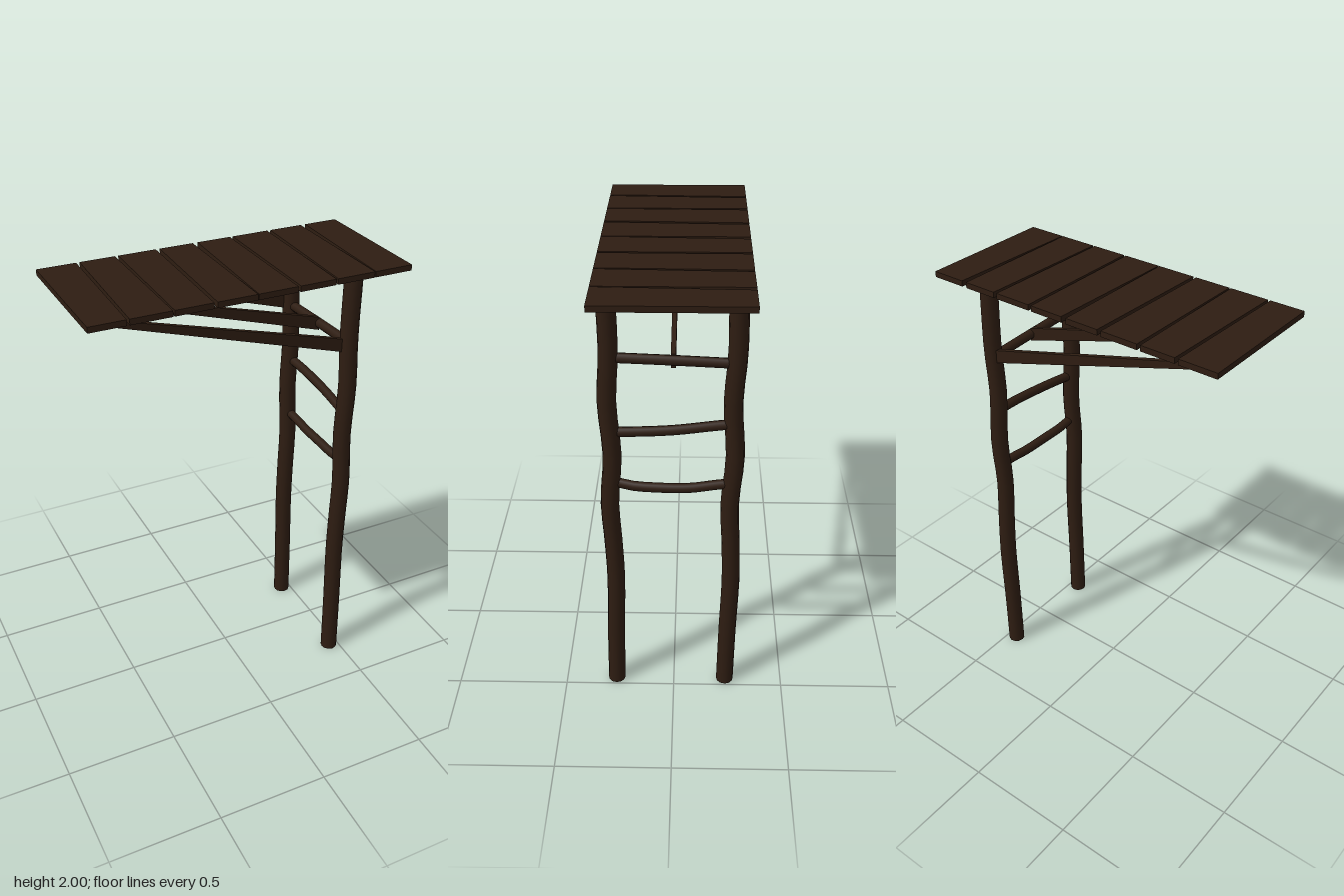
import * as THREE from 'three';

const wood = new THREE.MeshStandardMaterial({ color: 0x2e1d12, roughness: 0.9 });
const POST_X = 0.455;

function add(parent, name, geometry) {
  const mesh = new THREE.Mesh(geometry, wood);
  mesh.name = name;
  parent.add(mesh);
  return mesh;
}

// Smooth curve through [position, offset] pairs, sampled by position
function wave(pairs) {
  const pts = new THREE.CatmullRomCurve3(pairs.map(([t, d]) => new THREE.Vector3(t, d, 0))).getPoints(60);
  return (t) => {
    let i = 1;
    while (i < pts.length - 1 && pts[i].x < t) i++;
    const a = pts[i - 1], b = pts[i];
    return THREE.MathUtils.mapLinear(THREE.MathUtils.clamp(t, a.x, b.x), a.x, b.x, a.y, b.y);
  };
}

// Moves every vertex by a rule
function bend(geometry, rule) {
  const p = geometry.attributes.position;
  const v = new THREE.Vector3();
  for (let i = 0; i < p.count; i++) {
    rule(v.fromBufferAttribute(p, i));
    p.setXYZ(i, v.x, v.y, v.z);
  }
  return geometry;
}

// Board seen from above: x edges at the back (z-) and front (z+)
function plankGeometry(backL, backR, frontL, frontR) {
  const g = new THREE.BoxGeometry(1, 0.025, 0.615);
  return bend(g, (v) => {
    const back = v.z < 0;
    v.x = v.x < 0 ? (back ? backL : frontL) : (back ? backR : frontR);
  });
}

export function createModel() {
  const model = new THREE.Group();
  model.name = 'leanToShelter';

  // Two crooked round posts
  const sway = wave([[0, 0.012], [0.3, 0.007], [0.6, -0.001], [0.8, 0.005], [1, 0.014],
    [1.23, -0.003], [1.48, 0.012], [1.7, -0.001], [1.98, 0.003]]);
  for (const [name, z] of [['frontPost', 0.255], ['backPost', -0.25]]) {
    const g = new THREE.CylinderGeometry(0.039, 0.039, 1.98, 12, 24).translate(0, 0.99, 0);
    add(model, name, bend(g, (v) => { v.z += sway(v.y); })).position.set(POST_X, 0, z);
  }

  // Rungs between the posts: heights along z, and bulge in x
  const rungs = [
    [[[-0.25, 1.655], [0, 1.667], [0.25, 1.677]], 0],
    [[[-0.25, 1.385], [-0.15, 1.378], [0, 1.362], [0.25, 1.342]], 0.015],
    [[[-0.25, 1.1], [-0.17, 1.093], [-0.07, 1.08], [0.07, 1.08], [0.17, 1.085], [0.25, 1.103]], 0.01],
  ];
  rungs.forEach(([heights, bulge], i) => {
    const height = wave(heights);
    const g = new THREE.CylinderGeometry(0.021, 0.021, 0.5, 10, 12).rotateX(Math.PI / 2);
    bend(g, (v) => {
      v.y += height(v.z);
      v.x += bulge * Math.cos(v.z * Math.PI * 2);
    });
    add(model, 'rung' + (i + 1), g).position.x = POST_X;
  });

  // Tapered diagonal braces under the roof
  const braceShape = new THREE.Shape([
    new THREE.Vector2(-0.645, 1.976), new THREE.Vector2(0.455, 1.634),
    new THREE.Vector2(0.455, 1.694), new THREE.Vector2(-0.556, 1.976),
  ]);
  [-0.257, 0, 0.252].forEach((z, i) => {
    const g = new THREE.ExtrudeGeometry(braceShape, { depth: 0.02, bevelEnabled: false });
    add(model, 'brace' + (i + 1), g).position.z = z - 0.01;
  });

  // Flat battens carrying the planks
  for (const z of [-0.14, 0.15]) {
    add(model, 'batten', new THREE.BoxGeometry(1.33, 0.022, 0.075)).position.set(-0.01, 1.966, z);
  }

  // Roof planks, each cut slightly out of square
  const roof = new THREE.Group();
  roof.name = 'roof';
  model.add(roof);
  const edges = [
    [-0.7, -0.53, -0.698, -0.545], [-0.515, -0.361, -0.534, -0.361],
    [-0.346, -0.177, -0.354, -0.192], [-0.159, -0.006, -0.178, -0.006],
    [0.017, 0.171, -0.002, 0.171], [0.185, 0.354, 0.182, 0.343],
    [0.37, 0.523, 0.351, 0.523], [0.546, 0.7, 0.527, 0.7],
  ];
  edges.forEach((e, i) => {
    add(roof, 'plank' + (i + 1), plankGeometry(...e)).position.y = 1.9875;
  });

  return model;
}
